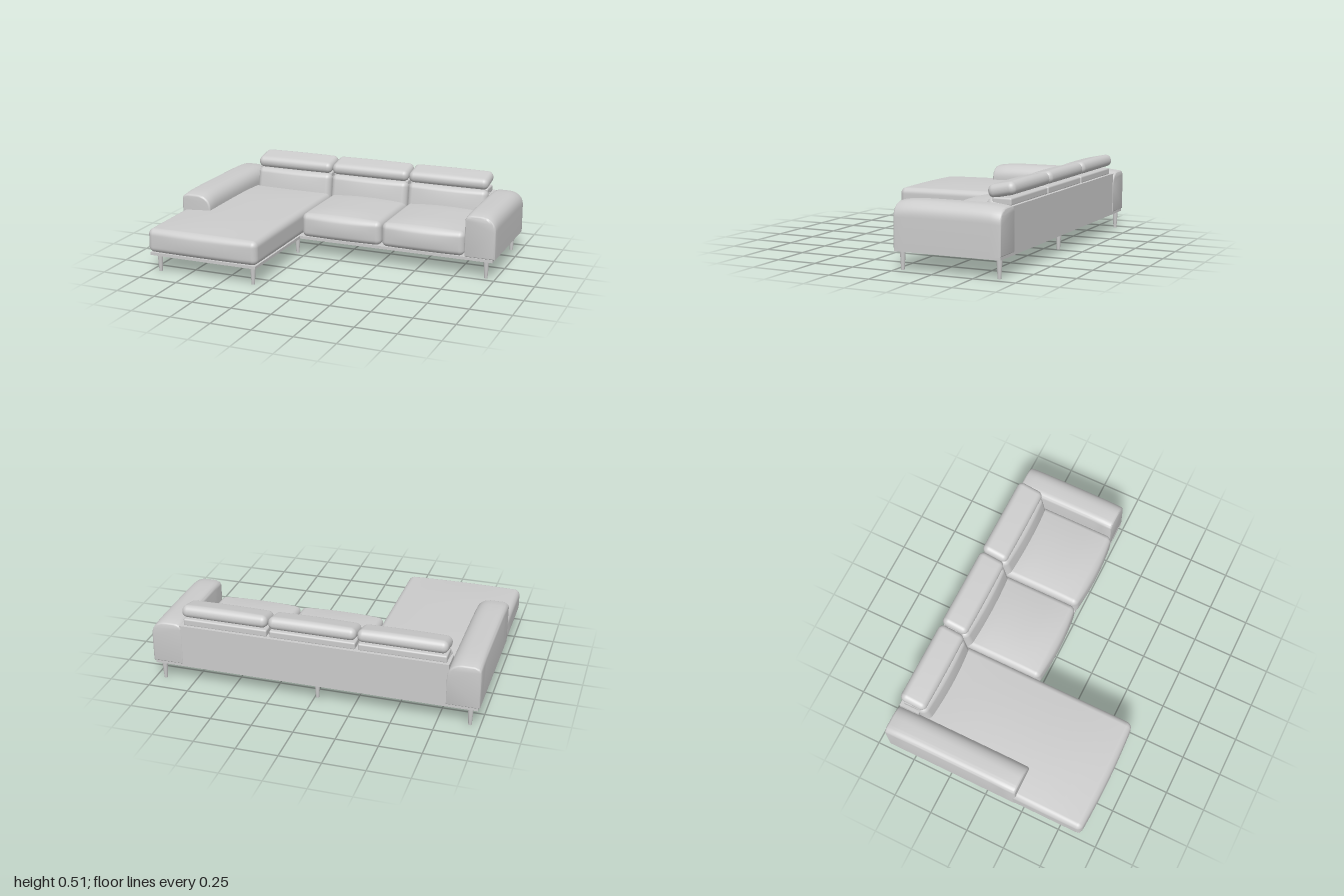
import * as THREE from 'three';
import { mergeVertices, toCreasedNormals } from 'three/addons/utils/BufferGeometryUtils.js';

const material = new THREE.MeshStandardMaterial({ color: 0xcccccc });

// Soft box: rounded edges, with a crowned top and a bulging front.
function pillowGeometry(w, h, d, r, crown = 0, bulge = 0) {
  let geo = new THREE.BoxGeometry(2, 2, 2, 16, 16, 16);
  geo.deleteAttribute('uv');
  geo.deleteAttribute('normal');
  geo = mergeVertices(geo);
  const half = new THREE.Vector3(w / 2, h / 2, d / 2);
  const inner = half.clone().subScalar(r);
  const p = new THREE.Vector3(), core = new THREE.Vector3();
  // half of the grid lines go to the rounded edges
  const spread = (t, axis) => {
    const a = Math.abs(t);
    const v = a <= 0.5 ? (a / 0.5) * inner[axis]
      : inner[axis] + r * Math.tan(((a - 0.5) / 0.5) * Math.PI / 4);
    return Math.sign(t) * v;
  };
  const pos = geo.attributes.position;
  for (let i = 0; i < pos.count; i++) {
    p.fromBufferAttribute(pos, i);
    p.set(spread(p.x, 'x'), spread(p.y, 'y'), spread(p.z, 'z'));
    core.copy(p).clamp(inner.clone().negate(), inner);
    p.sub(core).setLength(r).add(core);
    const nx = p.x / half.x, ny = p.y / half.y, nz = p.z / half.z;
    if (ny > 0) p.y += crown * ny * (1 - nx * nx) * (1 - nz ** 4);
    if (nz > 0) p.z += bulge * nz * (1 - nx * nx) * (1 - 0.6 * ny * ny);
    pos.setXYZ(i, p.x, p.y, p.z);
  }
  geo.computeVertexNormals();
  return geo;
}

function add(parent, name, geo, x = 0, y = 0, z = 0, tilt = 0) {
  const mesh = new THREE.Mesh(geo, material);
  mesh.name = name;
  mesh.position.set(x, y, z);
  mesh.rotation.x = tilt;
  parent.add(mesh);
  return mesh;
}

// Arm: section with a tight left and a wide right shoulder, run along z.
function armGeometry(x0, x1, z0, z1) {
  const b = 0.012, y0 = 0.125 + b, y1 = 0.398 - b, l = x0 + b, r = x1 - b;
  const s = new THREE.Shape();
  s.moveTo(l, y0);
  s.lineTo(r, y0);
  s.lineTo(r, y1 - 0.08);
  s.bezierCurveTo(r, y1 - 0.03, r - 0.03, y1, r - 0.085, y1);
  s.lineTo(l + 0.04, y1);
  s.quadraticCurveTo(l, y1, l, y1 - 0.025);
  s.closePath();
  const len = z1 - z0;
  const geo = new THREE.ExtrudeGeometry(s, {
    depth: len - 2 * b, steps: 12, curveSegments: 10,
    bevelEnabled: true, bevelSize: b, bevelThickness: b, bevelSegments: 4,
  });
  geo.translate(0, 0, z0 + b);
  // the top drops slightly towards both ends
  const pos = geo.attributes.position;
  for (let i = 0; i < pos.count; i++) {
    const t = (2 * (pos.getZ(i) - z0)) / len - 1;
    const up = (pos.getY(i) - 0.125) / 0.273;
    pos.setY(i, pos.getY(i) - 0.013 * up * t ** 6);
  }
  return toCreasedNormals(geo, 0.7);
}

export function createModel() {
  const model = new THREE.Group();
  model.name = 'cornerSofa';

  // L-shaped base board, drawn in x and -z
  const plan = new THREE.Shape([
    [-0.985, -0.635], [-0.275, -0.635], [-0.275, 0.01], [0.985, 0.01], [0.985, 0.655], [-0.985, 0.655],
  ].map(([x, y]) => new THREE.Vector2(x, y)));
  const board = new THREE.ExtrudeGeometry(plan, { depth: 0.018, bevelEnabled: false });
  board.rotateX(-Math.PI / 2);
  add(model, 'baseBoard', board, 0, 0.109, 0);

  // Tapered legs
  const legGeo = new THREE.CylinderGeometry(0.017, 0.01, 0.11, 20);
  const legs = [
    [-0.94, 0.595], [-0.31, 0.595], [-0.94, -0.04], [-0.31, -0.05],
    [0.94, -0.04], [-0.94, -0.63], [-0.015, -0.59], [0.94, -0.63],
  ];
  for (const [x, z] of legs) add(model, 'leg', legGeo, x, 0.055, z);

  // Arms
  add(model, 'rightArm', armGeometry(-0.995, -0.797, -0.662, 0.21));
  add(model, 'leftArm', armGeometry(0.807, 0.998, -0.662, -0.01));

  // Back panel
  add(model, 'backPanel', new THREE.BoxGeometry(1.63, 0.255, 0.13), 0.005, 0.2525, -0.592);

  // Chaise cushion, tucked in where it runs behind the arm
  const chaise = pillowGeometry(0.733, 0.15, 1.15, 0.036, 0.018, 0.015);
  const cp = chaise.attributes.position;
  for (let i = 0; i < cp.count; i++) {
    const z = cp.getZ(i) + 0.07;
    if (z < 0.2) cp.setX(i, Math.max(cp.getX(i), -0.335));
    const up = cp.getY(i) / 0.15 + 0.5;
    cp.setY(i, cp.getY(i) + up * 0.008 * (0.6 - z));
  }
  chaise.computeVertexNormals();
  add(model, 'chaiseCushion', chaise, -0.6315, 0.202, 0.07);

  // Seat cushions
  for (const x of [0.004, 0.54])
    add(model, 'seatCushion', pillowGeometry(0.53, 0.152, 0.55, 0.034, 0.022, 0.022), x, 0.203, -0.275);

  // Back cushions, top rails and headrests, one of each per seat
  for (const x of [-0.532, 0.004, 0.54]) {
    add(model, 'backCushion', pillowGeometry(0.53, 0.23, 0.13, 0.035, 0, 0.018), x, 0.293, -0.535, -0.15);
    add(model, 'headrestRail', pillowGeometry(0.52, 0.045, 0.115, 0.01), x, 0.397, -0.578);
    add(model, 'headrest', pillowGeometry(0.53, 0.074, 0.168, 0.034, 0.004, 0.003), x, 0.46, -0.571, 0.2);
  }
  return model;
}
